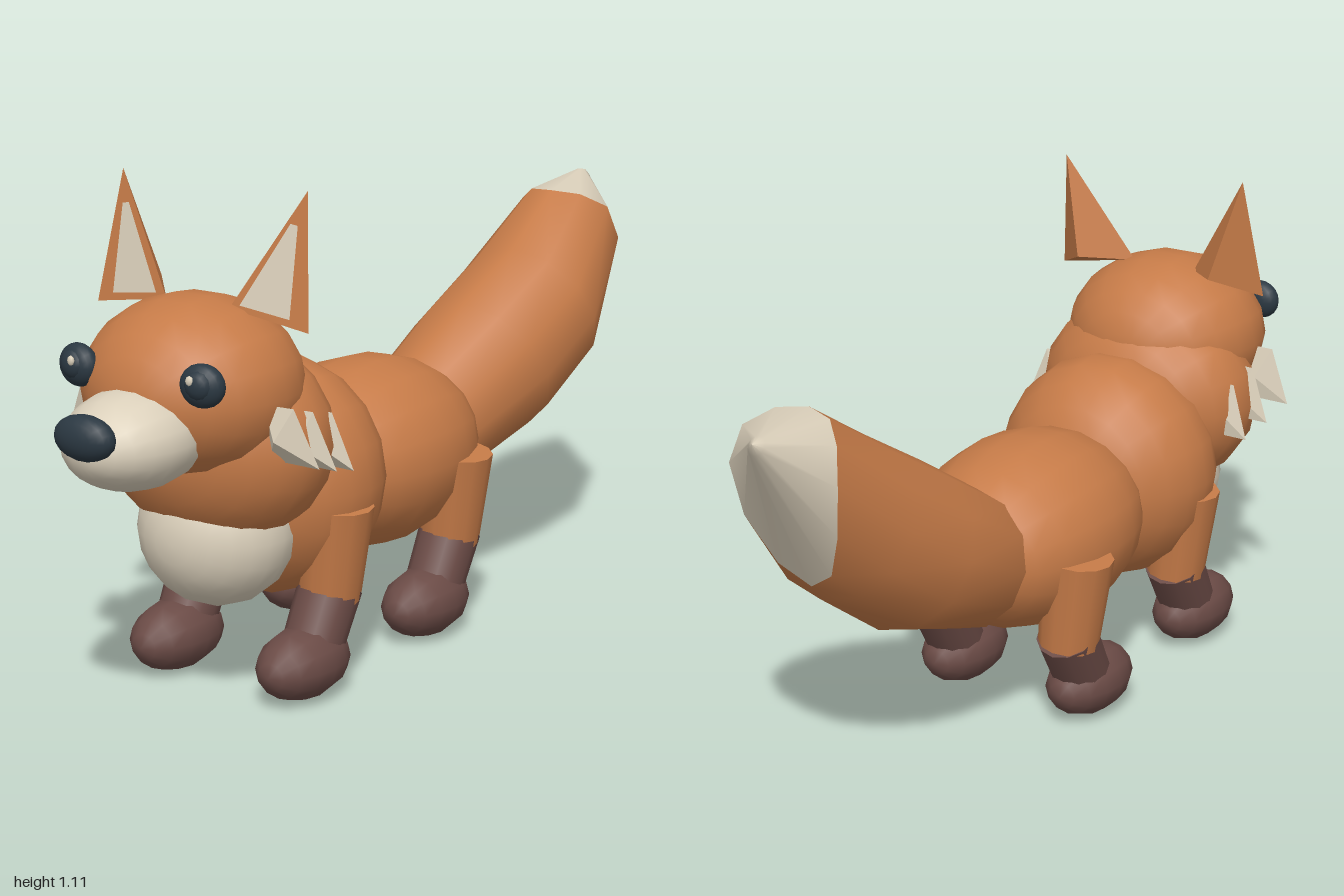
import * as THREE from 'three';
import { ConvexGeometry } from 'three/addons/geometries/ConvexGeometry.js';

const mat = (name, color, side = THREE.FrontSide) => {
  const m = new THREE.MeshStandardMaterial({ color, side });
  m.name = name;
  return m;
};
const V = (x, y, z) => new THREE.Vector3(x, y, z);

export function createModel() {
  const fox = new THREE.Group();
  fox.name = 'fox';
  const orange = mat('orange fur', 0xc67b48);
  const cream = mat('cream fur', 0xdbd0bb, THREE.DoubleSide);
  const brown = mat('brown socks', 0x6b4b46);
  const dark = mat('dark eyes and nose', 0x2b3842);

  const add = (name, geometry, material, parent = fox) => {
    const mesh = new THREE.Mesh(geometry, material);
    mesh.name = name;
    parent.add(mesh);
    return mesh;
  };
  // Ellipsoid with its poles along z
  const ball = (name, [x, y, z], [rx, ry, rz], material, parent = fox, w = 18, h = 12) => {
    const g = new THREE.SphereGeometry(1, w, h).rotateX(Math.PI / 2).scale(rx, ry, rz);
    const mesh = add(name, g, material, parent);
    mesh.position.set(x, y, z);
    return mesh;
  };
  // Tapered cylinder between two points
  const limb = (name, a, b, ra, rb, material, parent) => {
    const g = new THREE.CylinderGeometry(rb, ra, a.distanceTo(b), 12);
    const mesh = add(name, g, material, parent);
    mesh.position.copy(a).lerp(b, 0.5);
    mesh.quaternion.setFromUnitVectors(V(0, 1, 0), b.clone().sub(a).normalize());
    return mesh;
  };

  // Body and head
  ball('hindBody', [0, 0.41, -0.03], [0.24, 0.215, 0.32], orange);
  ball('shoulders', [0, 0.445, 0.33], [0.262, 0.265, 0.225], orange);
  ball('neck', [0, 0.575, 0.52], [0.27, 0.23, 0.2], orange);
  ball('chestPatch', [0, 0.37, 0.525], [0.175, 0.168, 0.16], cream);
  ball('head', [0, 0.7, 0.6], [0.237, 0.192, 0.23], orange);
  ball('muzzle', [0, 0.63, 0.8], [0.136, 0.105, 0.17], cream);
  ball('nose', [0, 0.665, 0.957], [0.073, 0.048, 0.038], dark);

  for (const s of [-1, 1]) {
    const side = s > 0 ? 'left' : 'right';

    // Eye with a raised pupil and a glint
    const eye = new THREE.Group();
    eye.name = side + 'Eye';
    eye.position.set(0.157 * s, 0.755, 0.778);
    eye.rotation.y = 0.15 * s;
    fox.add(eye);
    ball('eyeball', [0, 0, 0], [0.05, 0.046, 0.03], dark, eye);
    ball('pupil', [0, 0.004, 0.017], [0.031, 0.031, 0.02], dark, eye, 12, 8);
    ball('glint', [-0.012 * s, 0.016, 0.033], [0.009, 0.011, 0.006], cream, eye, 8, 6);

    // Three-sided ear with a thin pale inner face
    const apex = V(0.235 * s, 1.115, 0.522), outer = V(0.27 * s, 0.835, 0.572);
    const inner = V(0.08 * s, 0.865, 0.582), back = V(0.175 * s, 0.885, 0.475);
    add(side + 'Ear', new ConvexGeometry([apex, outer, inner, back]), orange);
    const onFace = (a, o, i) => V(0, 0, 0.005).addScaledVector(apex, a)
      .addScaledVector(outer, o).addScaledVector(inner, i);
    const patch = [onFace(0.74, 0.15, 0.11), onFace(0.74, 0.06, 0.2),
      onFace(0.05, 0.1, 0.85), onFace(0.06, 0.72, 0.22)];
    if (s < 0) patch.reverse();
    const faces = [0, 1, 2, 0, 2, 3].map((i) => patch[i]);
    const g = new THREE.BufferGeometry().setFromPoints(faces);
    g.computeVertexNormals();
    add(side + 'InnerEar', g, cream);

    // Cheek tufts, smaller toward the back
    [[0.63, 0.63, 0.322], [0.55, 0.605, 0.31], [0.47, 0.585, 0.298]].forEach(([z, y, tip], i) => {
      const p = [V(0.2, y + 0.06, z), V(0.27 - i * 0.008, y + 0.06, z - 0.004),
        V(tip, y - 0.062, z - 0.02), V(0.2, y - 0.06, z - 0.02),
        V(0.235, y - 0.01, z + 0.018), V(0.235, y - 0.01, z - 0.024)];
      p.forEach((v) => { v.x *= s; });
      add(side + 'CheekTuft' + (i + 1), new ConvexGeometry(p), cream);
    });

    // Legs
    for (const [end, dz] of [['Front', 0], ['Hind', -0.485]]) {
      const leg = new THREE.Group();
      leg.name = side + end + 'Leg';
      leg.position.z = dz;
      fox.add(leg);
      limb('thigh', V(0.17 * s, 0.2, 0.355), V(0.192 * s, 0.413, 0.357), 0.068, 0.081, orange, leg);
      limb('shin', V(0.168 * s, 0.08, 0.43), V(0.17 * s, 0.225, 0.348), 0.066, 0.07, brown, leg);
      ball('paw', [0.168 * s, 0.079, 0.45], [0.085, 0.078, 0.13], brown, leg, 12, 8);
    }
  }

  // Tail: tilted rings given as centre, half height (y, z), half width, side bulge along the axis
  const SIDES = 12;
  const ring = ([x, y, z, uy, uz, rx, bulge = 0]) => Array.from({ length: SIDES }, (_, j) => {
    const t = (j / SIDES) * Math.PI * 2, c = Math.cos(t), n = Math.sin(t);
    return V(x + rx * n, y + uy * c + 0.65 * bulge * n * n, z + uz * c - 0.75 * bulge * n * n);
  });
  const loft = (name, specs, material) => {
    const index = [];
    for (let i = 0; i < specs.length - 1; i++) {
      for (let j = 0; j < SIDES; j++) {
        const a = i * SIDES + j, b = i * SIDES + (j + 1) % SIDES;
        index.push(a, b, a + SIDES, b, b + SIDES, a + SIDES);
      }
    }
    const g = new THREE.BufferGeometry().setFromPoints(specs.flatMap(ring));
    g.setIndex(index);
    g.computeVertexNormals();
    return add(name, g, material);
  };
  const edge = [0.07, 0.705, -0.75, 0.195, 0.005, 0.135, 0.12];
  loft('tail', [
    [0, 0.4, -0.2, 0.11, 0.02, 0.11],
    [0, 0.42, -0.285, 0.15, 0.045, 0.155],
    [0.035, 0.515, -0.485, 0.165, 0.085, 0.185],
    [0.07, 0.628, -0.645, 0.158, 0.08, 0.183],
    edge,
  ], orange);
  loft('tailTip', [
    edge,
    [0.025, 0.898, -0.98, 0.017, 0.012, 0.02],
    [0.022, 0.908, -0.998, 0, 0, 0],
  ], cream);

  return fox;
}
